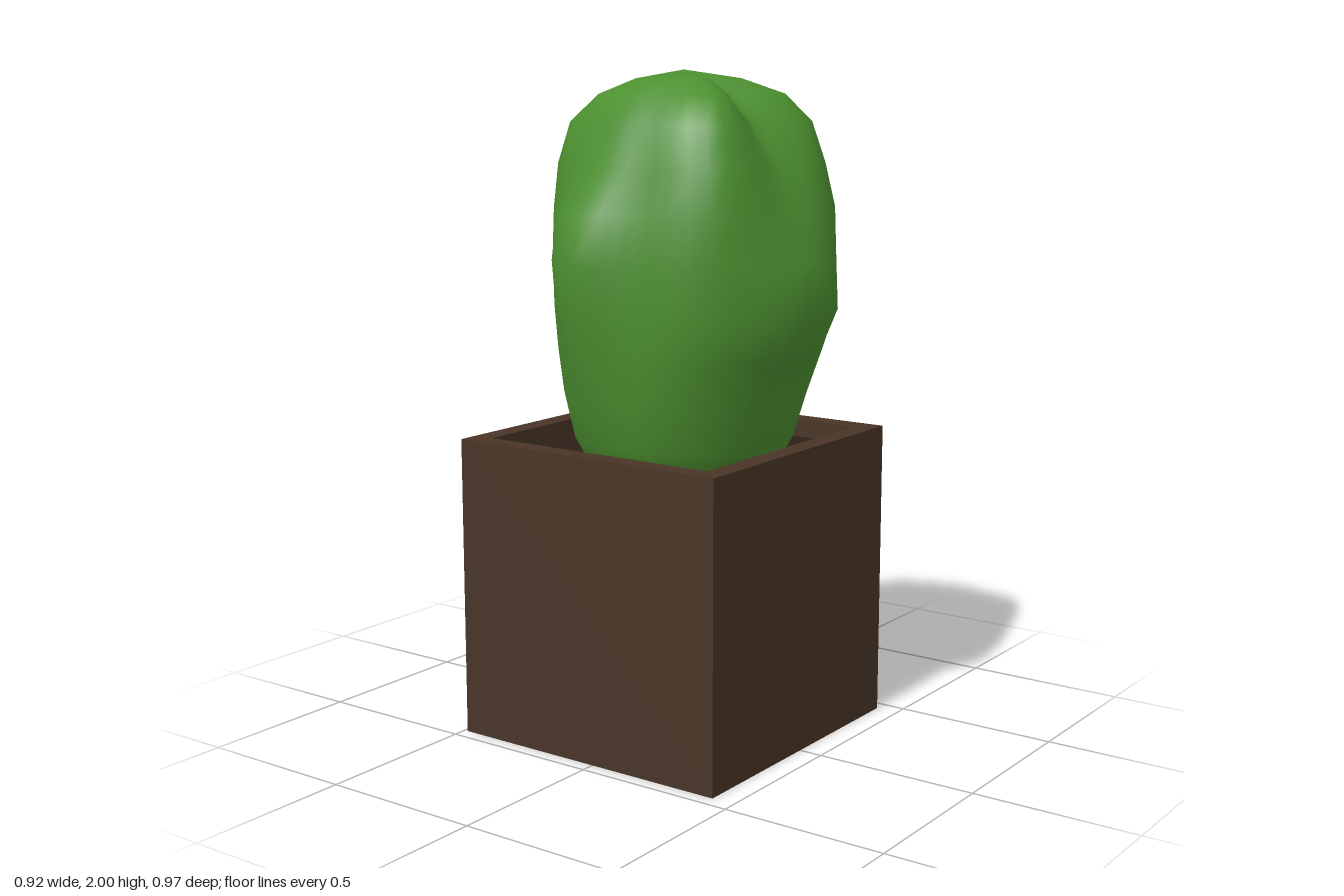
import * as THREE from 'three';

// Bush cross-sections: height, then radius at each angle (degrees from the front)
const ANGLES = [0, 40, 78, 100, 135, 180];
const ROWS = [
  [0.78, 0.22, 0.22, 0.22, 0.22, 0.22, 0.22],
  [0.84, 0.29, 0.29, 0.29, 0.29, 0.29, 0.285],
  [0.915, 0.33, 0.33, 0.33, 0.335, 0.33, 0.325],
  [1.05, 0.37, 0.37, 0.365, 0.375, 0.36, 0.36],
  [1.18, 0.41, 0.415, 0.385, 0.41, 0.375, 0.39],
  [1.31, 0.485, 0.45, 0.4, 0.44, 0.385, 0.4],
  [1.46, 0.465, 0.45, 0.4, 0.462, 0.39, 0.385],
  [1.6, 0.4, 0.45, 0.385, 0.425, 0.385, 0.375],
  [1.73, 0.335, 0.42, 0.335, 0.335, 0.37, 0.37],
  [1.85, 0.24, 0.38, 0.315, 0.31, 0.335, 0.315],
  [1.93, 0.15, 0.3, 0.26, 0.255, 0.25, 0.24],
  [1.975, 0.08, 0.17, 0.16, 0.15, 0.14, 0.13],
];

// Smoothly blended radius, mirrored left to right
function radiusAt(row, degrees) {
  const a = degrees > 180 ? 360 - degrees : degrees;
  let i = 0;
  while (i < ANGLES.length - 2 && a > ANGLES[i + 1]) i++;
  const t = (a - ANGLES[i]) / (ANGLES[i + 1] - ANGLES[i]);
  return THREE.MathUtils.lerp(row[i + 1], row[i + 2], t * t * (3 - 2 * t));
}

function bushGeometry(sides = 48) {
  const positions = [], index = [];
  for (const row of ROWS) {
    for (let j = 0; j < sides; j++) {
      const degrees = (j / sides) * 360;
      const a = THREE.MathUtils.degToRad(degrees);
      const r = radiusAt(row, degrees);
      positions.push(r * Math.sin(a), row[0], r * Math.cos(a));
    }
  }
  const bottom = ROWS.length * sides, top = bottom + 1;
  positions.push(0, 0.74, 0, 0, 2, 0);
  const last = (ROWS.length - 1) * sides;
  for (let j = 0; j < sides; j++) {
    const k = (j + 1) % sides;
    for (let i = 0; i < last; i += sides) {
      index.push(i + j, i + k, i + sides + k, i + j, i + sides + k, i + sides + j);
    }
    index.push(bottom, k, j, top, last + j, last + k);
  }
  const geometry = new THREE.BufferGeometry();
  geometry.setAttribute('position', new THREE.Float32BufferAttribute(positions, 3));
  geometry.setIndex(index);
  geometry.computeVertexNormals();
  return geometry;
}

function square(Path, half) {
  return new Path([[-1, -1], [1, -1], [1, 1], [-1, 1]].map(([x, y]) => new THREE.Vector2(x * half, y * half)));
}

export function createModel() {
  const group = new THREE.Group();
  const add = (name, geometry, color) => {
    const mesh = new THREE.Mesh(geometry, new THREE.MeshStandardMaterial({ color }));
    mesh.name = name;
    group.add(mesh);
    return mesh;
  };
  const half = 0.458, wall = 0.065, height = 0.915, potZ = -0.03, soilTop = 0.86;

  // Square planter walls, open at the top
  const outline = square(THREE.Shape, half);
  outline.holes.push(square(THREE.Path, half - wall));
  const walls = new THREE.ExtrudeGeometry(outline, { depth: height, bevelEnabled: false });
  walls.rotateX(-Math.PI / 2);
  add('planterWalls', walls, 0x493527).position.z = potZ;

  // Planter base closes the underside
  const inner = 2 * (half - wall);
  add('planterBase', new THREE.BoxGeometry(inner, 0.05, inner), 0x493527).position.set(0, 0.025, potZ);

  // Soil filling the planter to just under the rim
  const soil = add('soil', new THREE.BoxGeometry(inner, soilTop - 0.05, inner), 0x2e2018);
  soil.position.set(0, (soilTop + 0.05) / 2, potZ);

  // Lumpy bush
  add('bush', bushGeometry(), 0x4c9030);
  return group;
}
